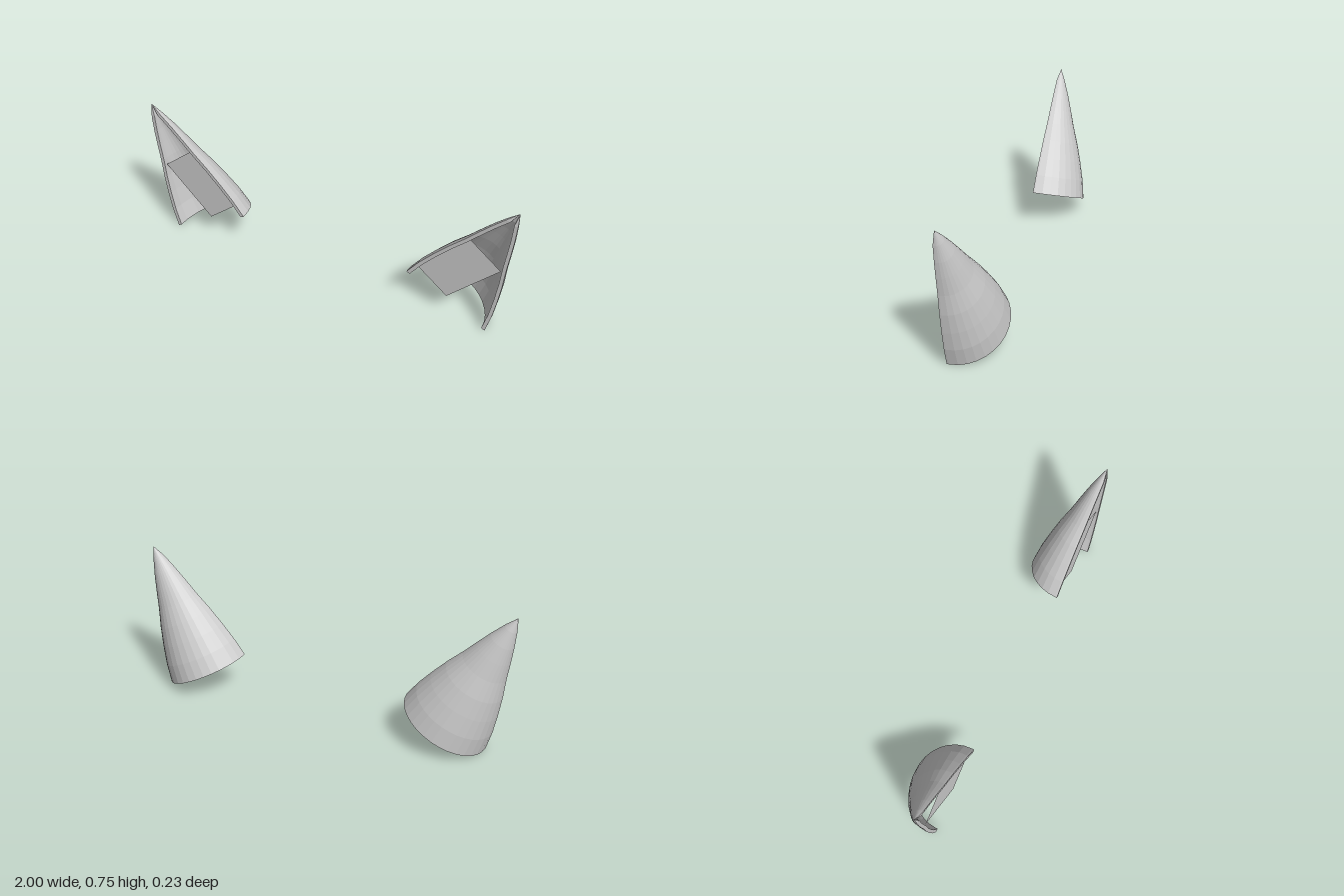
import * as THREE from 'three';

const SEG = 16;            // facets around the half shell
const WALL = 0.02;         // shell thickness
const AXIS_Z = 0.105, FRONT_Z = 0.115;
const BASE = new THREE.Vector2(0.685, 0.105);   // middle of the open base
const UP = new THREE.Vector2(0.44, 0.898);      // direction from base to tip

// [distance along the axis, radius]
const PROFILE = [
  [0, 0.239], [0.1, 0.22], [0.2, 0.192], [0.3, 0.16], [0.4, 0.122],
  [0.49, 0.092], [0.57, 0.064], [0.65, 0.032], [0.718, 0],
];

const material = () => new THREE.MeshStandardMaterial({
  color: 0xcccccc, flatShading: true, side: THREE.DoubleSide,
});

// Half-round arc with a short straight lip at both ends, as [across, z]
function arc(r) {
  const lip = r > 0 ? FRONT_Z : AXIS_Z;
  const pts = [[r, lip]];
  for (let j = 0; j <= SEG; j++) {
    const t = Math.PI * j / SEG;
    pts.push([r * Math.cos(t), AXIS_Z - 0.925 * r * Math.sin(t)]);
  }
  pts.push([-r, lip]);
  return pts;
}

// Tapering half-cone shell: closed outer + inner loops joined along the axis
function shellGeometry(side) {
  const pos = [], index = [];
  for (const [h, r] of PROFILE) {
    const loop = [...arc(r), ...arc(Math.max(r - WALL, 0)).reverse()];
    // keep the front rim flat even where the hollow closes
    loop[loop.length - 1][1] = loop[0][1];
    for (const [a, z] of loop) {
      pos.push(side * (BASE.x + UP.x * h + UP.y * a), BASE.y + UP.y * h - UP.x * a, z);
    }
  }
  const n = 2 * (SEG + 3);
  const quad = (a, b, c, d) => side > 0
    ? index.push(a, b, c, a, c, d)
    : index.push(a, c, b, a, d, c);
  for (let i = 0; i < PROFILE.length - 1; i++) {
    for (let j = 0; j < n; j++) {
      const k = (j + 1) % n;
      quad(i * n + j, i * n + k, (i + 1) * n + k, (i + 1) * n + j);
    }
  }
  // base edge between the outer and inner arcs
  for (let j = 0; j < n / 2 - 1; j++) quad(j, n - 1 - j, n - 2 - j, j + 1);

  const g = new THREE.BufferGeometry();
  g.setAttribute('position', new THREE.Float32BufferAttribute(pos, 3));
  g.setIndex(index);
  g.computeVertexNormals();
  return g;
}

// Flat four-sided panel set across the opening
function panelGeometry(side) {
  const corners = [[0.78, 0.52], [0.943, 0.389], [0.684, 0.129], [0.516, 0.265]];
  const shape = new THREE.Shape(corners.map(([x, y]) => new THREE.Vector2(side * x, y)));
  return new THREE.ShapeGeometry(shape).translate(0, 0, AXIS_Z);
}

export function createModel() {
  const model = new THREE.Group();
  model.name = 'earPair';
  for (const [name, side] of [['leftEar', 1], ['rightEar', -1]]) {
    const ear = new THREE.Group();
    ear.name = name;
    const shell = new THREE.Mesh(shellGeometry(side), material());
    shell.name = 'earShell';
    const panel = new THREE.Mesh(panelGeometry(side), material());
    panel.name = 'innerPanel';
    ear.add(shell, panel);
    model.add(ear);
  }
  return model;
}
